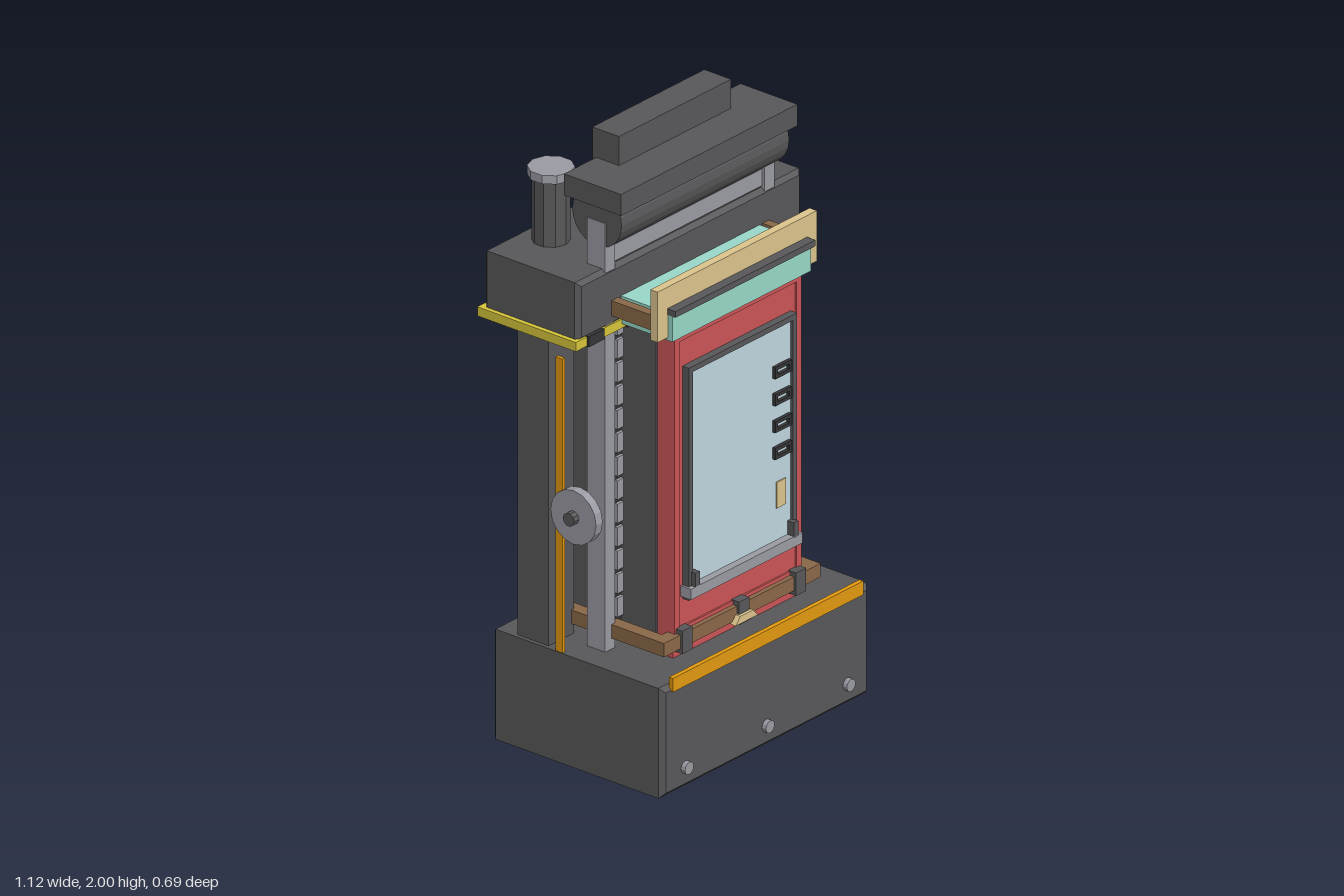
import * as THREE from 'three';

const COLORS = {
  iron: 0x58585a, black: 0x363638, steel: 0x9a9aa3, red: 0xcc5557, glass: 0xbfd6e0,
  teal: 0x98d8c8, cream: 0xdcc48c, amber: 0xe2990f, yellow: 0xd6c53a, wood: 0x8a6848,
};
const MATS = {};
for (const k in COLORS) MATS[k] = new THREE.MeshStandardMaterial({ color: COLORS[k], flatShading: true });

export function createModel() {
  const model = new THREE.Group();
  model.name = 'machine';
  const body = new THREE.Group(); // symmetric about its own x = 0
  body.name = 'body';
  body.position.x = 0.033;
  model.add(body);

  const add = (name, geo, mat, x, y, z, parent = body) => {
    const m = new THREE.Mesh(geo, MATS[mat]);
    m.name = name;
    m.position.set(x, y, z);
    parent.add(m);
    return m;
  };
  // Box given by its extents on each axis
  const box = (name, mat, [x0, x1], [y0, y1], [z0, z1]) => add(name,
    new THREE.BoxGeometry(x1 - x0, y1 - y0, z1 - z0), mat, (x0 + x1) / 2, (y0 + y1) / 2, (z0 + z1) / 2);
  // Box with chamfered edges
  const chamferBox = (name, mat, [x0, x1], [y0, y1], [z0, z1], c) => {
    const w = (x1 - x0) / 2 - c, h = (y1 - y0) / 2 - c, d = z1 - z0;
    const s = new THREE.Shape([[-w, -h], [w, -h], [w, h], [-w, h]].map(p => new THREE.Vector2(...p)));
    const g = new THREE.ExtrudeGeometry(s, {
      depth: d - 2 * c, bevelEnabled: true, bevelThickness: c, bevelSize: c, bevelSegments: 1,
    });
    g.center();
    return add(name, g, mat, (x0 + x1) / 2, (y0 + y1) / 2, (z0 + z1) / 2);
  };
  // Flat rectangular ring facing +z, positioned by its back
  const ringGeo = (w, h, t, d) => {
    const rect = (C, a, b) => new C([[-a, -b], [a, -b], [a, b], [-a, b]].map(p => new THREE.Vector2(...p)));
    const s = rect(THREE.Shape, w / 2, h / 2);
    s.holes.push(rect(THREE.Path, w / 2 - t, h / 2 - t));
    return new THREE.ExtrudeGeometry(s, { depth: d, bevelEnabled: false });
  };
  // Same extents on both sides of the body
  const pair = (name, mat, [x0, x1], y, z) => {
    box(name, mat, [x0, x1], y, z);
    box(name, mat, [-x1, -x0], y, z);
  };

  // Base with underside grate
  chamferBox('base', 'iron', [-0.475, 0.475], [0.02, 0.38], [-0.33, 0.33], 0.016);
  box('underPanel', 'wood', [-0.27, 0.27], [0.012, 0.022], [-0.18, 0.18]);
  for (const z of [-0.1, 0.1]) box('grateBar', 'black', [-0.36, 0.36], [0.004, 0.024], [z - 0.015, z + 0.015]);
  for (const x of [-0.24, 0, 0.24]) box('grateCrossBar', 'black', [x - 0.018, x + 0.018], [0, 0.024], [-0.235, 0.235]);
  box('frontStrip', 'amber', [-0.435, 0.435], [0.36, 0.405], [0.322, 0.337]);
  for (const x of [-0.37, 0, 0.37]) {
    add('baseBolt', new THREE.CylinderGeometry(0.02, 0.02, 0.025, 12), 'steel', x, 0.09, 0.333).rotation.x = Math.PI / 2;
  }

  // Columns, side rails and racks
  pair('column', 'iron', [0.345, 0.462], [0.37, 1.43], [-0.24, -0.12]);
  pair('sideStrip', 'amber', [0.46, 0.472], [0.31, 1.34], [-0.085, -0.058]);
  pair('sideRail', 'steel', [0.342, 0.387], [0.37, 1.78], [-0.035, 0.035]);
  pair('rack', 'black', [0.285, 0.33], [0.45, 1.43], [-0.03, 0.02]);
  for (let i = 0; i < 13; i++) {
    const y = 0.47 + i * 0.0767;
    pair('rackTooth', 'steel', [0.282, 0.325], [y, y + 0.062], [0.0, 0.03]);
  }

  // Cabinet: red core with dark sides
  box('cabinet', 'red', [-0.28, 0.28], [0.38, 1.44], [-0.2, 0.16]);
  box('doorPanel', 'red', [-0.29, 0.29], [0.38, 1.43], [0.155, 0.215]);
  pair('cabinetSide', 'iron', [0.27, 0.297], [0.38, 1.44], [-0.19, 0.155]);
  add('doorLip', ringGeo(0.58, 0.98, 0.022, 0.008), 'red', 0, 0.94, 0.213);
  pair('backRail', 'black', [0.235, 0.28], [0.72, 1.44], [-0.235, -0.19]);
  chamferBox('backPlate', 'steel', [-0.215, 0.215], [0.77, 0.97], [-0.23, -0.195], 0.01);

  // Window with sill and slots
  add('windowFrame', ringGeo(0.495, 0.76, 0.018, 0.03), 'iron', 0, 0.94, 0.21);
  box('windowGlass', 'glass', [-0.235, 0.235], [0.57, 1.31], [0.21, 0.23]);
  box('windowSill', 'steel', [-0.255, 0.255], [0.57, 0.605], [0.21, 0.255]);
  pair('sillBracket', 'iron', [0.215, 0.235], [0.6, 0.65], [0.215, 0.255]);
  for (let i = 0; i < 4; i++) add('slotFrame', ringGeo(0.075, 0.038, 0.011, 0.014), 'black', 0.184, 0.895 + i * 0.088, 0.228);
  box('windowTag', 'cream', [0.162, 0.205], [0.71, 0.795], [0.228, 0.234]);

  // Wooden skirt around the cabinet foot, with clamps and latch
  for (const z of [-0.215, 0.215]) {
    box('skirt', 'wood', [-0.358, 0.358], [0.415, 0.46], [z - 0.022, z + 0.022]);
    for (const x of [-0.26, 0, 0.26]) {
      box('clamp', 'iron', [x - 0.023, x + 0.023], [0.4, 0.475], [z - 0.03, z + 0.03]);
    }
  }
  pair('skirtSide', 'wood', [0.315, 0.358], [0.415, 0.46], [-0.215, 0.215]);
  const latch = new THREE.Shape([[-0.05, 0], [0.05, 0], [0.03, 0.024], [-0.03, 0.024]].map(p => new THREE.Vector2(...p)));
  add('latch', new THREE.ExtrudeGeometry(latch, { depth: 0.025, bevelEnabled: false }), 'cream', 0, 0.41, 0.23);

  // Canopy above the door
  box('canopy', 'teal', [-0.317, 0.317], [1.43, 1.52], [0.03, 0.235]);
  box('canopyCap', 'iron', [-0.32, 0.32], [1.515, 1.535], [0.21, 0.25]);
  box('signBoard', 'cream', [-0.364, 0.364], [1.44, 1.605], [0.19, 0.218]);
  pair('boardArm', 'wood', [0.33, 0.36], [1.47, 1.52], [0.02, 0.195]);

  // Crown with striped safety ledge
  chamferBox('crown', 'iron', [-0.512, 0.512], [1.435, 1.63], [-0.33, 0.037], 0.014);
  box('safetyLedge', 'yellow', [-0.527, 0.527], [1.415, 1.445], [-0.34, 0.04]);
  for (let i = 0; i < 6; i++) {
    const x = -0.44 + i * 0.176;
    for (const z of [-0.338, 0.038]) box('ledgeStripe', 'black', [x - 0.036, x + 0.036], [1.413, 1.447], [z - 0.009, z + 0.009]);
  }

  // Roller and top blocks
  add('roller', new THREE.CylinderGeometry(0.095, 0.095, 0.766, 24), 'iron', 0, 1.79, 0).rotation.z = Math.PI / 2;
  box('rollerBlock', 'iron', [-0.403, 0.403], [1.835, 1.905], [-0.11, 0.11]);
  box('topBlock', 'iron', [-0.256, 0.256], [1.88, 2.0], [-0.125, -0.022]);
  box('crossBar', 'steel', [-0.345, 0.345], [1.635, 1.69], [-0.025, 0.025]);
  for (const x of [-0.13, 0, 0.13]) {
    add('supportPipe', new THREE.CylinderGeometry(0.015, 0.015, 0.2, 8), 'iron', x, 1.72, -0.075);
  }

  // Exhaust stacks
  for (const x of [-0.33, 0.33]) {
    add('stack', new THREE.CylinderGeometry(0.058, 0.058, 0.23, 10), 'iron', x, 1.735, -0.222);
    add('stackCap', new THREE.CylinderGeometry(0.071, 0.071, 0.028, 10), 'steel', x, 1.856, -0.222);
  }

  // Handwheel beside the body
  const wheel = new THREE.Group();
  wheel.name = 'handwheel';
  wheel.position.set(-0.526, 0.9, 0.07);
  wheel.rotation.z = Math.PI / 2;
  model.add(wheel);
  add('wheelDisc', new THREE.CylinderGeometry(0.088, 0.088, 0.03, 16), 'steel', 0, 0, 0, wheel);
  add('wheelHub', new THREE.CylinderGeometry(0.022, 0.022, 0.074, 10), 'iron', 0, 0, 0, wheel);

  return model;
}
